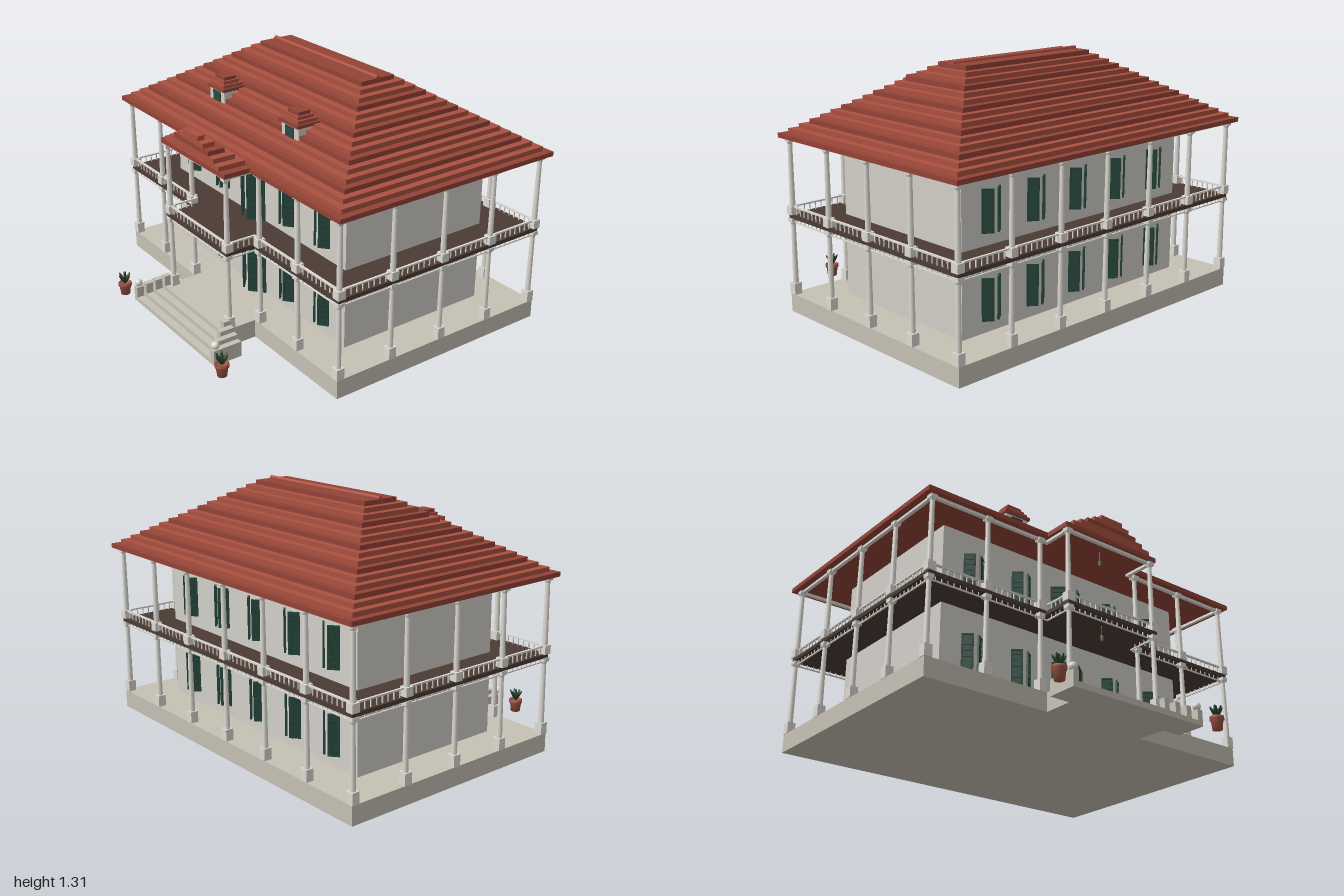
import * as THREE from 'three';
import { mergeGeometries } from 'three/addons/utils/BufferGeometryUtils.js';

const paint = (color) => new THREE.MeshStandardMaterial({ color });
const M = {
  wall: paint(0xd3d0c9), stone: paint(0xc6c1b4), white: paint(0xdedbd3),
  tile: paint(0xac5140), tileDark: paint(0x944337), floor: paint(0x4c3b34),
  green: paint(0x24443a), glass: paint(0x2a4a42), clay: paint(0x9a5240),
  leaf: paint(0x263f2a), metal: paint(0x77715f),
};

// Box geometry from its limits
function boxGeo(x0, x1, y0, y1, z0, z1) {
  return new THREE.BoxGeometry(x1 - x0, y1 - y0, z1 - z0)
    .translate((x0 + x1) / 2, (y0 + y1) / 2, (z0 + z1) / 2);
}

function add(parent, name, geo, mat) {
  const mesh = new THREE.Mesh(Array.isArray(geo) ? mergeGeometries(geo) : geo, mat);
  mesh.name = name;
  parent.add(mesh);
  return mesh;
}

function group(parent, name) {
  const g = new THREE.Group();
  g.name = name;
  parent.add(g);
  return g;
}

// Stepped tile courses, each box given by a rule; every third course is darker
function courses(parent, name, count, rule) {
  const g = group(parent, name);
  for (let i = 0; i < count; i++) {
    add(g, 'tileCourse', boxGeo(...rule(i)), i % 3 === 0 ? M.tileDark : M.tile);
  }
  return g;
}

// Column with square pedestal, tapered shaft and capital
function column(x, z, y0, y1, pedestal) {
  const h = y1 - y0 - pedestal - 0.02, s = 0.021;
  return [
    boxGeo(x - s, x + s, y0, y0 + pedestal, z - s, z + s),
    new THREE.CylinderGeometry(0.0115, 0.0145, h, 12).translate(x, y0 + pedestal + h / 2, z),
    new THREE.CylinderGeometry(0.017, 0.012, 0.012, 12).translate(x, y1 - 0.026, z),
    boxGeo(x - 0.018, x + 0.018, y1 - 0.02, y1, z - 0.018, z + 0.018),
  ];
}

// Horizontal bar between two plan points that share x or z
function bar(a, b, y0, y1, w) {
  return boxGeo(Math.min(a[0], b[0]) - w, Math.max(a[0], b[0]) + w, y0, y1,
    Math.min(a[1], b[1]) - w, Math.max(a[1], b[1]) + w);
}

// Row of thin upright bars between two plan points
function spindles(a, b, y0, y1, w, gap) {
  const n = Math.round(Math.hypot(b[0] - a[0], b[1] - a[1]) / gap), out = [];
  for (let i = 1; i < n; i++) {
    const x = a[0] + (b[0] - a[0]) * i / n, z = a[1] + (b[1] - a[1]) * i / n;
    out.push(boxGeo(x - w, x + w, y0, y1, z - w, z + w));
  }
  return out;
}

// Louvred leaf hinged at x = 0
function leafGeo(w, h) {
  const t = 0.005, f = 0.008, parts = [
    boxGeo(0, f, 0, h, -t, t), boxGeo(w - f, w, 0, h, -t, t),
    boxGeo(0, w, 0, f, -t, t), boxGeo(0, w, h - f, h, -t, t),
  ];
  const n = Math.round(h / 0.03);
  for (let i = 0; i < n; i++) {
    parts.push(new THREE.BoxGeometry(w - f, h / n, 0.003).rotateX(-0.1)
      .translate(w / 2, (i + 0.5) * h / n, 0));
  }
  return mergeGeometries(parts);
}

// Pair of half-open leaves; facing is 1 for the front wall, -1 for the back
function shutters(parent, name, x, y, z, w, h, facing) {
  const g = group(parent, name), geo = leafGeo(w, h), a = 0.68;
  for (const s of [-1, 1]) {
    const leaf = add(g, 'shutterLeaf', geo, M.green);
    leaf.position.x = s * w;
    leaf.rotation.y = s < 0 ? -a : Math.PI + a;
  }
  g.position.set(x, y, z);
  if (facing < 0) g.rotation.y = Math.PI;
}

export function createModel() {
  const model = new THREE.Group();
  model.name = 'verandaHouse';

  // Plinth, walls and upper floor
  add(model, 'plinth', [boxGeo(-0.975, 0.975, 0, 0.097, -0.815, 0.475),
    boxGeo(-0.295, 0.295, 0, 0.097, 0.475, 0.635)], M.stone);
  add(model, 'walls', boxGeo(-0.765, 0.765, 0.097, 0.92, -0.602, 0.27), M.wall);
  add(model, 'upperFloor', [boxGeo(-0.97, 0.97, 0.5, 0.52, -0.81, 0.47),
    boxGeo(-0.29, 0.29, 0.5, 0.52, 0.47, 0.63)], M.floor);

  // Flared steps with stepped side walls and ball ends
  const steps = group(model, 'frontSteps');
  for (let i = 0; i < 4; i++) {
    const z1 = 0.67 + 0.04 * i, x0 = 0.31 + 0.032 * (i - 1), top = 0.097 - 0.0243 * i;
    add(steps, 'tread', boxGeo(-x0 - 0.01, x0 + 0.01, 0, top, 0.63, z1), M.stone);
    for (const s of [-1, 1]) {
      const xs = [s * x0, s * (x0 + 0.032)].sort((p, q) => p - q);
      add(steps, 'sideWall', boxGeo(...xs, 0, top + 0.058, 0.63, z1), M.stone);
    }
  }
  for (const s of [-1, 1]) {
    add(steps, 'ballEnd', new THREE.SphereGeometry(0.021, 16, 12), M.white)
      .position.set(s * 0.39, 0.103, 0.77);
  }

  // Columns on both floors
  const X = 0.957, F = 0.457, B = -0.795, P = 0.275, PF = 0.615, spots = [[-P, PF], [P, PF]];
  for (let i = -3; i <= 3; i++) {
    spots.push([i * 0.319, B]);
    if (i !== 0) spots.push([i * 0.319, F]);
  }
  for (let i = 1; i <= 3; i++) {
    const z = B + (F - B) * i / 4;
    spots.push([-X, z], [X, z]);
  }
  const columns = group(model, 'columns');
  for (const [x, z] of spots) {
    add(columns, 'lowerColumn', column(x, z, 0.097, 0.5, 0.06), M.white);
    add(columns, 'upperColumn', column(x, z, 0.52, 0.915, 0.045), M.white);
  }

  // Balustrade, spindle valance and eaves beam round the veranda
  const path = [[-X, B], [X, B], [X, F], [P, F], [P, PF], [-P, PF], [-P, F], [-X, F]];
  const rails = [], balusters = [], valance = [], beam = [];
  path.forEach((a, i) => {
    const b = path[(i + 1) % path.length];
    rails.push(bar(a, b, 0.556, 0.564, 0.006));
    balusters.push(...spindles(a, b, 0.52, 0.557, 0.0025, 0.034));
    valance.push(bar(a, b, 0.476, 0.482, 0.004), ...spindles(a, b, 0.48, 0.5, 0.002, 0.034));
    beam.push(bar(a, b, 0.9, 0.916, 0.009));
  });
  add(model, 'handrail', rails, M.white);
  add(model, 'balusters', balusters, M.white);
  add(model, 'valance', valance, M.white);
  add(model, 'eavesBeam', beam, M.white);

  // Shuttered windows and doors
  for (let i = -2; i <= 2; i++) {
    for (const y of [0.16, 0.585]) {
      if (i !== 0) shutters(model, 'frontWindow', i * 0.293, y, 0.272, 0.058, 0.21, 1);
      shutters(model, 'backWindow', i * 0.293, y, -0.604, 0.058, 0.21, -1);
    }
  }
  for (const y of [0.099, 0.521]) shutters(model, 'frontDoor', 0, y, 0.272, 0.099, 0.27, 1);

  // Main hipped roof with ridge
  const step = 0.0377, rise = 0.0238, zc = -0.1725;
  courses(model, 'mainRoof', 16, (i) => {
    const hx = 1 - i * step, hz = 0.6675 - i * step, y = 0.914 + i * rise;
    return [-hx, hx, y, y + rise, zc - hz, zc + hz];
  });
  add(model, 'ridge', new THREE.CylinderGeometry(0.011, 0.011, 0.87, 10)
    .rotateZ(Math.PI / 2).translate(0, 1.298, zc), M.tile);

  // Porch gable, flush at the front and stepping back to the main roof
  courses(model, 'porchRoof', 6, (i) => {
    const hx = 0.3 - i * 0.046, y = 0.914 + i * 0.0243;
    return [-hx, hx, y, y + 0.0243, 0.46 + i * 0.028, 0.638];
  });

  // Dormers
  for (const x of [-0.327, 0.327]) {
    const d = group(model, 'dormer');
    add(d, 'dormerWall', boxGeo(-0.068, 0.068, 1.03, 1.122, 0.1, 0.277), M.wall);
    add(d, 'dormerWindow', boxGeo(-0.034, 0.034, 1.055, 1.112, 0.27, 0.281), M.glass);
    courses(d, 'dormerRoof', 4, (i) => {
      const hx = 0.078 - i * 0.012, y = 1.12 + i * 0.0172;
      return [-hx, hx, y, y + 0.0172, 0.15 + i * 0.012, 0.288 - i * 0.01];
    });
    d.position.x = x;
  }

  // Hanging lanterns
  for (const y of [0.835, 0.42]) {
    const l = group(model, 'lantern');
    add(l, 'chain', new THREE.CylinderGeometry(0.002, 0.002, 0.05, 6).translate(0, 0.055, 0), M.metal);
    add(l, 'lampBody', new THREE.CylinderGeometry(0.009, 0.006, 0.024, 6).translate(0, 0.012, 0), M.metal);
    add(l, 'lampCap', new THREE.ConeGeometry(0.012, 0.01, 6).translate(0, 0.029, 0), M.metal);
    l.position.set(0, y, 0.54);
  }

  // Potted plants
  const profile = [[0, 0], [0.025, 0], [0.031, 0.05], [0.036, 0.05], [0.036, 0.066],
    [0.029, 0.066], [0.028, 0.058], [0, 0.058]].map((p) => new THREE.Vector2(...p));
  for (const x of [-0.495, 0.495]) {
    const p = group(model, 'pottedPlant');
    add(p, 'pot', new THREE.LatheGeometry(profile, 14), M.clay);
    const leaves = [];
    for (let i = 0; i < 7; i++) {
      leaves.push(new THREE.SphereGeometry(1, 6, 5).scale(0.009, 0.034, 0.007)
        .translate(0, 0.034, 0).rotateX(i === 6 ? 0 : 0.5).rotateY(i * Math.PI / 3)
        .translate(0, 0.06, 0));
    }
    add(p, 'leaves', leaves, M.leaf);
    p.position.set(x, 0, 0.8);
  }
  return model;
}
